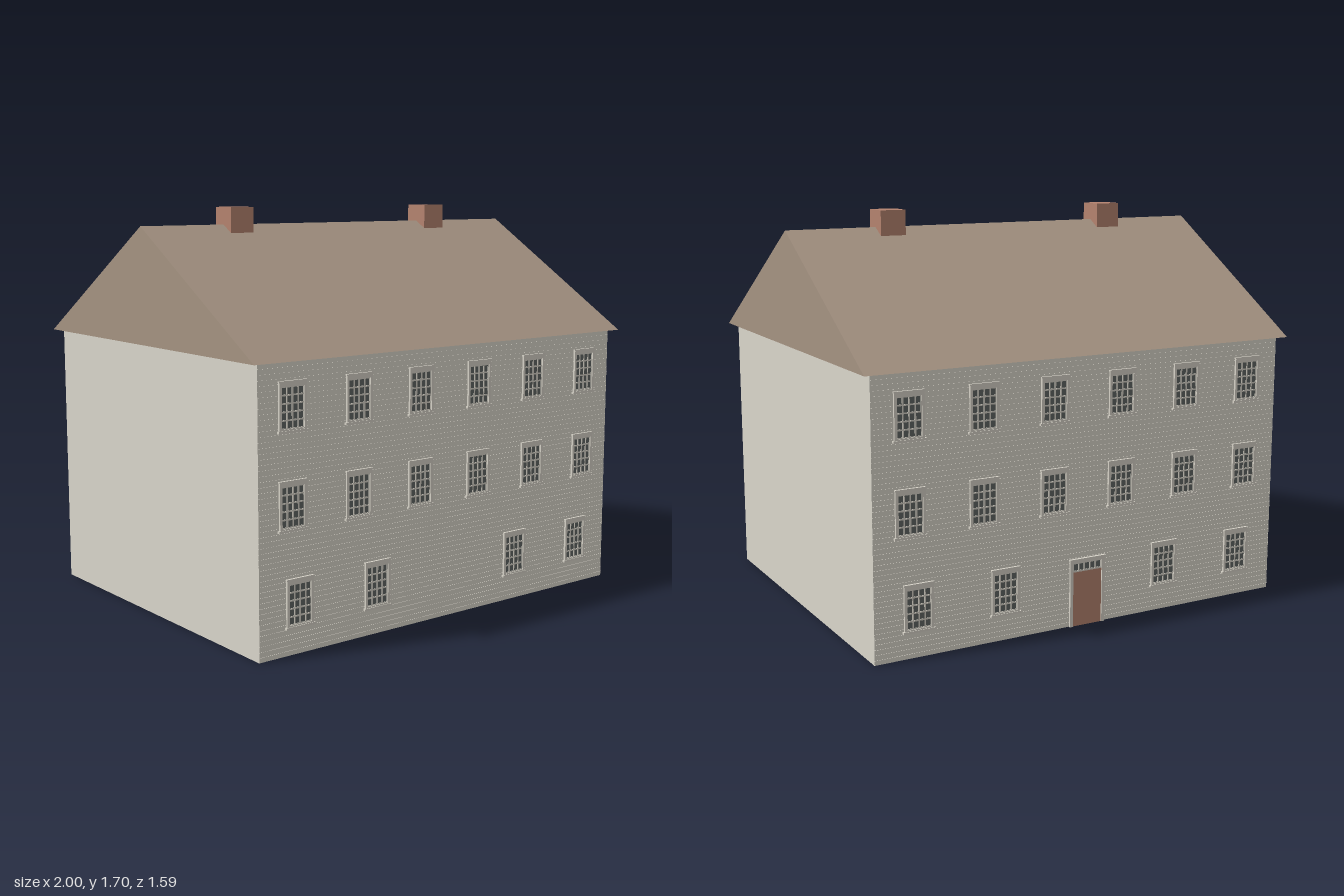
import * as THREE from 'three';

const mat = (name, color, side = THREE.FrontSide) => {
  const m = new THREE.MeshStandardMaterial({ color, side });
  m.name = name;
  return m;
};

export function createModel() {
  const siding = mat('siding', 0xdad6cb, THREE.DoubleSide);
  const trim = mat('trim', 0xd6d2c7);
  const roofing = mat('roofing', 0xa59382, THREE.DoubleSide);
  const brick = mat('brick', 0xb4836f);
  const glass = mat('glass', 0x5f6562);

  const house = new THREE.Group();
  house.name = 'house';
  const add = (parent, name, geo, material, x = 0, y = 0, z = 0) => {
    const mesh = new THREE.Mesh(geo, material);
    mesh.name = name;
    mesh.position.set(x, y, z);
    parent.add(mesh);
    return mesh;
  };
  const box = (w, h, d) => new THREE.BoxGeometry(w, h, d);

  // Hollow shell: four thin walls, open below and above
  const wallTop = 1.147, wallX = 0.965, wallZ = 0.765;
  for (const s of [-1, 1]) {
    const end = add(house, 'endWall', new THREE.PlaneGeometry(wallZ * 2, wallTop), siding, s * wallX, wallTop / 2, 0);
    end.rotation.y = (s * Math.PI) / 2;
  }

  // Hollow gable roof: two slopes and two gable triangles, open below
  const ridge = 1.63, eaveZ = 0.797, rise = ridge - wallTop;
  const slope = new THREE.PlaneGeometry(2, Math.hypot(eaveZ, rise));
  const gable = new THREE.ShapeGeometry(new THREE.Shape([
    new THREE.Vector2(-eaveZ, wallTop), new THREE.Vector2(eaveZ, wallTop), new THREE.Vector2(0, ridge),
  ]));
  for (const s of [-1, 1]) {
    const side = new THREE.Group();
    side.name = 'roofSide';
    side.rotation.y = s > 0 ? 0 : Math.PI;
    add(side, 'roofSlope', slope, roofing, 0, wallTop + rise / 2, eaveZ / 2)
      .rotation.x = -Math.atan2(eaveZ, rise);
    add(side, 'roofGable', gable, roofing, 1, 0, 0).rotation.y = Math.PI / 2;
    house.add(side);
  }

  // Chimneys astride the ridge, running down into the attic
  for (const x of [-0.542, 0.538]) add(house, 'chimney', box(0.115, 0.3, 0.114), brick, x, 1.553, 0);

  // Flat plate with a grid of rectangular openings, centred on the origin
  const gridPlate = (w, h, openW, openH, cols, rows, bar, depth, drop = 0) => {
    const rect = (S, x, y, rw, rh) => {
      const s = new S();
      s.moveTo(x, y);
      s.lineTo(x + rw, y);
      s.lineTo(x + rw, y + rh);
      s.lineTo(x, y + rh);
      s.closePath();
      return s;
    };
    const plate = rect(THREE.Shape, -w / 2, -h / 2, w, h);
    const pw = (openW - bar * (cols - 1)) / cols, ph = (openH - bar * (rows - 1)) / rows;
    for (let c = 0; c < cols; c++) {
      for (let r = 0; r < rows; r++) {
        plate.holes.push(rect(THREE.Path, -openW / 2 + c * (pw + bar), -openH / 2 - drop + r * (ph + bar), pw, ph));
      }
    }
    return new THREE.ExtrudeGeometry(plate, { depth, bevelEnabled: false });
  };

  // Window parts shared by every window
  const casing = gridPlate(0.128, 0.19, 0.106, 0.162, 1, 1, 0, 0.009, 0.005);
  const sash = gridPlate(0.108, 0.164, 0.099, 0.154, 4, 5, 0.006, 0.005);
  const pane = box(0.108, 0.164, 0.004);
  const sill = box(0.14, 0.009, 0.013);
  const cap = box(0.132, 0.006, 0.011);
  const makeWindow = (x, y) => {
    const g = new THREE.Group();
    g.name = 'window';
    g.position.set(x, y, wallZ);
    add(g, 'windowCasing', casing, trim);
    add(g, 'windowSash', sash, trim, 0, -0.005, 0);
    add(g, 'windowGlass', pane, glass, 0, -0.005, 0.0005);
    add(g, 'windowSill', sill, trim, 0, -0.096, 0.0055);
    add(g, 'windowCap', cap, trim, 0, 0.095, 0.0045);
    return g;
  };

  // Long faces: backing wall, thin clapboards and rows of windows
  const boards = 54, pitch = wallTop / boards, boardDepth = 0.002;
  const board = box(wallX * 2, pitch * 0.86, boardDepth);
  const makeFacade = (name) => {
    const g = new THREE.Group();
    g.name = name;
    add(g, 'wall', new THREE.PlaneGeometry(wallX * 2, wallTop), siding, 0, wallTop / 2, wallZ - boardDepth);
    for (let i = 0; i < boards; i++) {
      add(g, 'clapboard', board, siding, 0, (i + 0.5) * pitch, wallZ - boardDepth / 2);
    }
    for (const y of [0.975, 0.593]) {
      for (let i = 0; i < 6; i++) g.add(makeWindow(-0.807 + i * 0.3228, y));
    }
    for (const x of [-0.775, -0.388, 0.388, 0.775]) g.add(makeWindow(x, 0.208));
    house.add(g);
    return g;
  };
  makeFacade('frontFacade');
  const rear = makeFacade('backFacade');
  rear.rotation.y = Math.PI;

  // Back door with transom light
  const door = new THREE.Group();
  door.name = 'backDoor';
  door.position.z = wallZ;
  add(door, 'doorPanel', box(0.142, 0.235, 0.006), brick, 0, 0.1175, 0.001);
  for (const s of [-1, 1]) add(door, 'doorJamb', box(0.014, 0.285, 0.01), trim, s * 0.077, 0.1425, 0.004);
  add(door, 'transomGlass', box(0.142, 0.036, 0.004), glass, 0, 0.254, 0.0005);
  add(door, 'transomBars', gridPlate(0.142, 0.042, 0.13, 0.028, 5, 1, 0.006, 0.005), trim, 0, 0.256, 0);
  add(door, 'doorHead', box(0.168, 0.012, 0.01), trim, 0, 0.281, 0.004);
  add(door, 'doorCap', box(0.176, 0.007, 0.013), trim, 0, 0.289, 0.0055);
  rear.add(door);

  return house;
}
